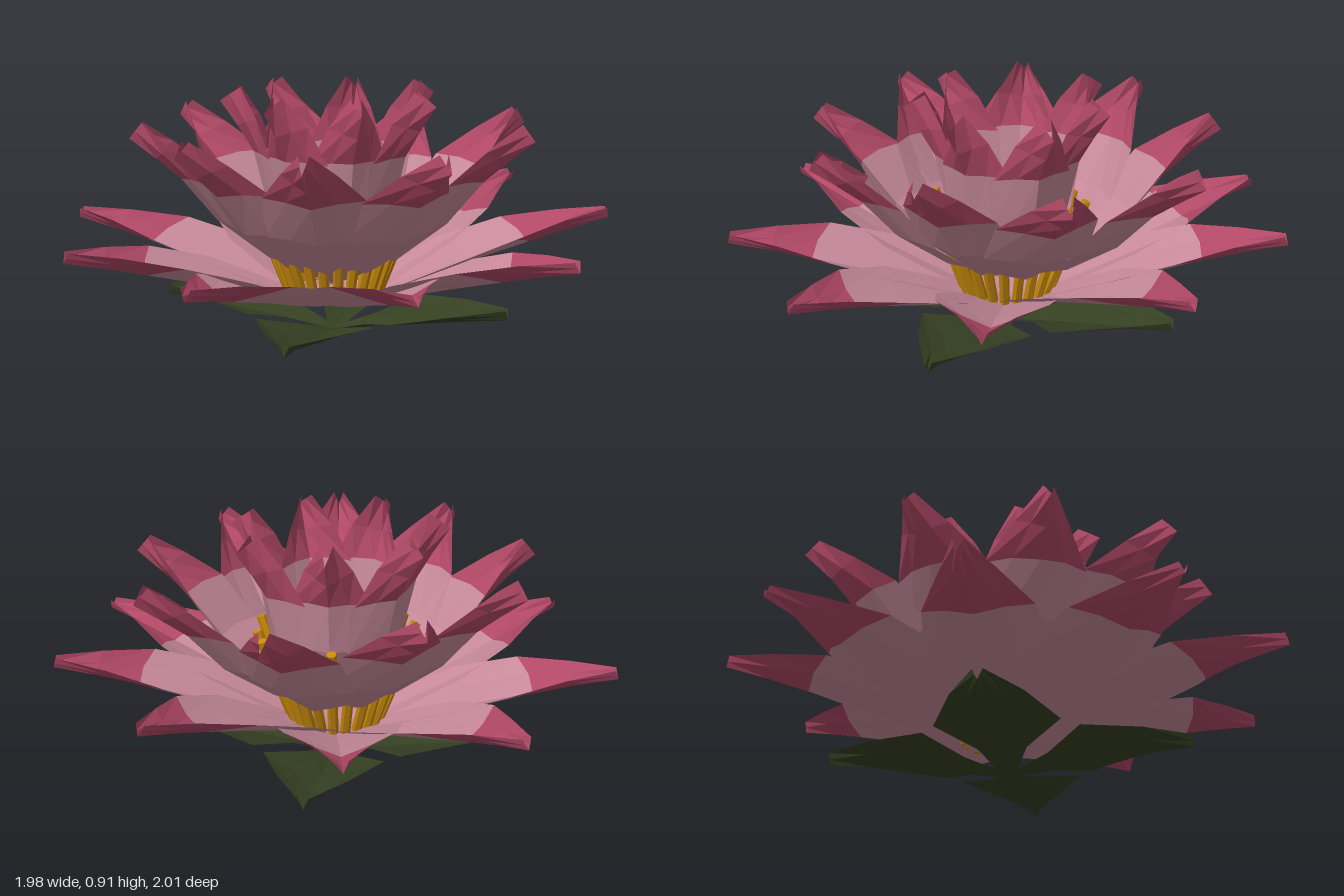
import * as THREE from 'three';

const mat = (name, color) => new THREE.MeshStandardMaterial({
  name, color, flatShading: true, side: THREE.DoubleSide });
const blush = mat('blush', 0xc6899a);
const rose = mat('rose', 0xb04866);
const gold = mat('gold', 0xc88a0c);
const green = mat('leaf green', 0x354022);

const COLS = [-1, -0.5, 0, 0.5, 1];

// Folded blade pointing along +x. Each row is [radius, height, half width, edge lift];
// the edges are lifted along the normal of the spine, so the blade forms a trough.
function blade(rows) {
  const pos = [], index = [];
  rows.forEach(([r, y, w, lift], i) => {
    const a = rows[Math.max(i - 1, 0)], b = rows[Math.min(i + 1, rows.length - 1)];
    const len = Math.hypot(b[0] - a[0], b[1] - a[1]);
    const tx = (b[0] - a[0]) / len, ty = (b[1] - a[1]) / len;
    for (const u of COLS) {
      const up = lift * Math.pow(Math.abs(u), 1.1);
      const back = 1.5 * (w * u) ** 2; // rows bow outward in the middle
      pos.push(r - ty * up - tx * back, y + tx * up - ty * back, w * u);
    }
  });
  const n = COLS.length;
  for (let i = 0; i < rows.length - 1; i++) {
    for (let j = 0; j < n - 1; j++) {
      const p = i * n + j;
      index.push(p, p + 1, p + n, p + 1, p + n + 1, p + n);
    }
  }
  const g = new THREE.BufferGeometry();
  g.setAttribute('position', new THREE.Float32BufferAttribute(pos, 3));
  g.setIndex(index);
  // first group is the body of the blade, second its coloured tip (last two rows)
  const split = (rows.length - 3) * (n - 1) * 6;
  g.addGroup(0, split, 0);
  g.addGroup(split, index.length - split, 1);
  g.computeVertexNormals();
  return g;
}

// Ring of blades; turn (degrees), reach and rise vary each one a little
function ring(name, rows, count, startDeg, materials, { turn = [], reach = [], rise = [] }) {
  const group = new THREE.Group();
  group.name = name + 's';
  const tipR = rows[rows.length - 1][0];
  for (let k = 0; k < count; k++) {
    const s = reach[k] || 1, dy = rise[k] || 0;
    const own = rows.map(([r, y, w, l]) => [r * s, y + dy * (r / tipR), w, l]);
    const mesh = new THREE.Mesh(blade(own), materials);
    mesh.name = name;
    mesh.rotation.y = -THREE.MathUtils.degToRad(startDeg + (360 / count) * k + (turn[k] || 0));
    group.add(mesh);
  }
  return group;
}

// Straight rods leaning outward around the centre
function stamens(count) {
  const group = new THREE.Group();
  group.name = 'stamens';
  for (let k = 0; k < count; k++) {
    const a = (k + 0.25) / count * Math.PI * 2;
    const dir = new THREE.Vector3(Math.cos(a), 0, Math.sin(a));
    const foot = dir.clone().multiplyScalar(0.165).setY(0.148);
    const top = dir.clone().multiplyScalar(0.285 + 0.012 * Math.sin(k * 2.3))
      .setY(0.475 + 0.025 * Math.sin(k * 1.7));
    const axis = top.clone().sub(foot);
    const rod = new THREE.Mesh(new THREE.CylinderGeometry(0.019, 0.019, axis.length(), 6), gold);
    rod.name = 'stamen';
    rod.position.copy(foot).add(top).multiplyScalar(0.5);
    rod.quaternion.setFromUnitVectors(new THREE.Vector3(0, 1, 0), axis.normalize());
    group.add(rod);
  }
  return group;
}

export function createModel() {
  const flower = new THREE.Group();
  flower.name = 'waterLily';
  const petal = [blush, rose];

  // wide, nearly flat outer petals
  flower.add(ring('outerPetal', [
    [-0.02, 0.10, 0.05, 0.005], [0.14, 0.12, 0.12, 0.025], [0.30, 0.165, 0.17, 0.05],
    [0.50, 0.225, 0.22, 0.07], [0.72, 0.285, 0.19, 0.075], [0.87, 0.325, 0.095, 0.06],
    [1.02, 0.36, 0.018, 0.04],
  ], 9, 0, petal, {
    turn: [0, -1.7, 0.6, -2, 0, 3, -1, -1.2, -0.4],
    rise: [0.01, 0, -0.005, 0, 0, 0.03, 0.05, 0.07, 0.05],
  }));

  // rising middle petals
  flower.add(ring('middlePetal', [
    [-0.01, 0.17, 0.04, 0.01], [0.24, 0.275, 0.12, 0.04], [0.43, 0.42, 0.19, 0.06],
    [0.56, 0.575, 0.18, 0.075], [0.65, 0.65, 0.095, 0.075], [0.745, 0.725, 0.018, 0.075],
  ], 9, 20, petal, {
    turn: [2, 1, -1, 0, 0, -1.5, -2, 0, 0],
    reach: [1, 1.01, 0.99, 0.99, 1, 1.05, 1.07, 1.06, 0.99],
    rise: [-0.015, 0, 0.01, 0, 0.01, 0, -0.03, 0, 0.015],
  }));

  // upright inner cup with flared, deeply folded tips
  flower.add(ring('innerPetal', [
    [-0.01, 0.21, 0.03, 0.01], [0.15, 0.31, 0.09, 0.03], [0.235, 0.48, 0.14, 0.05],
    [0.28, 0.67, 0.14, 0.06], [0.335, 0.765, 0.085, 0.08], [0.395, 0.855, 0.02, 0.092],
  ], 7, -13, petal, {
    turn: [0, 0, 2, 3, 1, 2, -1.5],
    reach: [1, 0.95, 0.97, 1.04, 1.03, 0.97, 1.08],
  }));

  flower.add(stamens(24));

  // leaves beneath the bloom
  flower.add(ring('leaf', [
    [0, 0, 0.02, 0.005], [0.16, 0.024, 0.085, 0.03], [0.35, 0.052, 0.22, 0.055],
    [0.51, 0.07, 0.125, 0.05], [0.655, 0.085, 0.018, 0.04],
  ], 4, -20, [green, green], { turn: [0, -2, 0, 0] }));

  flower.position.x = -0.035;
  const model = new THREE.Group();
  model.name = 'model';
  model.add(flower);
  return model;
}
